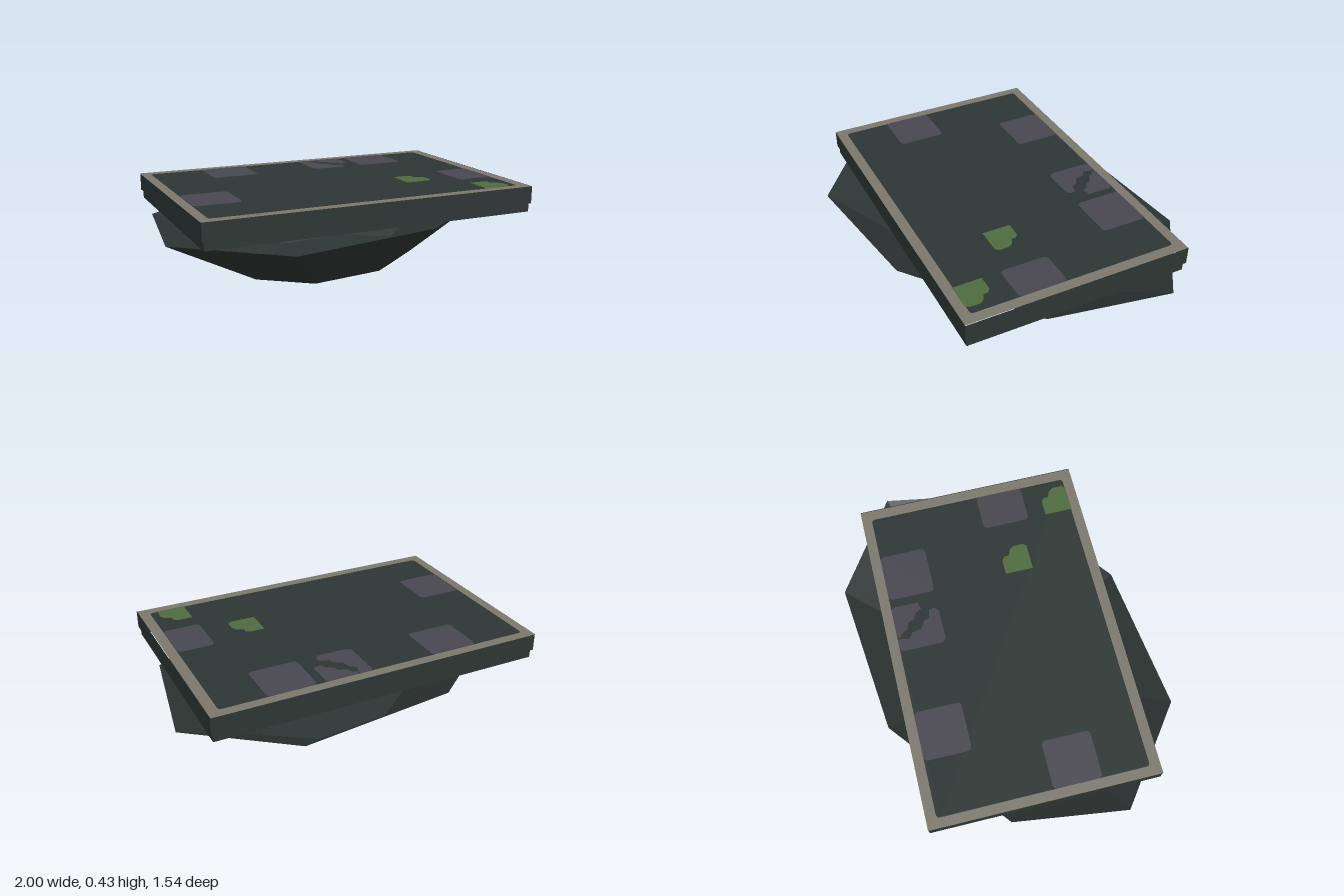
import * as THREE from 'three';

const flat = (name, color, side = THREE.FrontSide) => {
  const m = new THREE.MeshStandardMaterial({ color, side, flatShading: true });
  m.name = name;
  return m;
};

// Rounded rectangle in ground coordinates (shape y = -z)
function roundedRect(x0, x1, z0, z1, r, path = new THREE.Shape()) {
  const y0 = -z1, y1 = -z0;
  path.moveTo(x0 + r, y0);
  path.lineTo(x1 - r, y0);
  path.quadraticCurveTo(x1, y0, x1, y0 + r);
  path.lineTo(x1, y1 - r);
  path.quadraticCurveTo(x1, y1, x1 - r, y1);
  path.lineTo(x0 + r, y1);
  path.quadraticCurveTo(x0, y1, x0, y1 - r);
  path.lineTo(x0, y0 + r);
  path.quadraticCurveTo(x0, y0, x0 + r, y0);
  return path;
}

const outline = (pts) => new THREE.Shape(pts.map(([x, z]) => new THREE.Vector2(x, -z)));

// Open-ended band of quads joining two rings of [x, y, z] points
function band(lower, upper) {
  const pos = [], n = lower.length;
  for (let i = 0; i < n; i++) {
    const j = (i + 1) % n;
    pos.push(...lower[i], ...lower[j], ...upper[j], ...lower[i], ...upper[j], ...upper[i]);
  }
  const g = new THREE.BufferGeometry();
  g.setAttribute('position', new THREE.Float32BufferAttribute(pos, 3));
  g.computeVertexNormals();
  return g;
}

export function createModel() {
  const group = new THREE.Group();
  const stone = flat('dark stone', 0x2d3634, THREE.DoubleSide);
  const trim = flat('taupe trim', 0x7c786d);
  const slate = flat('purple slate', 0x48464f);
  const moss = flat('moss green', 0x4f6b3f);
  const add = (name, geometry, material, y = 0) => {
    const mesh = new THREE.Mesh(geometry, material);
    mesh.name = name;
    mesh.position.y = y;
    group.add(mesh);
  };

  // Faceted rock bowl, open on top, its base half the size of its rim
  const rim = [
    [0.51, 0.28, -0.775], [0.3 - 0.6, 0.29, -0.69], [-0.92, 0.295, -0.19], [-1, 0.287, 0.4],
    [-0.51, 0.28, 0.77], [0.26, 0.295, 0.665], [0.89, 0.303, 0.18], [1, 0.3, -0.44],
  ];
  const base = rim.map(([x, , z]) => [x / 2, 0, z / 2]);
  add('rockSides', band(base, rim), stone);
  add('rockBase', new THREE.ShapeGeometry(outline(base.map(([x, , z]) => [x, z]))).rotateX(-Math.PI / 2), stone);

  // Slab walls: a tall upper band over a slightly inset lower one
  const ring = (x, z0, z1, y) => [[-x, y, z1], [x, y, z1], [x, y, z0], [-x, y, z0]];
  add('upperWall', band(ring(0.883, -0.593, 0.583, 0.34), ring(0.883, -0.593, 0.583, 0.43)), stone);
  add('lowerWall', band(ring(0.873, -0.583, 0.575, 0.295), ring(0.873, -0.583, 0.575, 0.342)), stone);

  // Floor panel and the border around it
  const inner = [-0.835, 0.825, -0.543, 0.53, 0.02];
  add('floorPanel', new THREE.ShapeGeometry(roundedRect(...inner)).rotateX(-Math.PI / 2), stone, 0.43);
  const border = roundedRect(-0.885, 0.88, -0.595, 0.583, 0.001);
  border.holes.push(roundedRect(...inner, new THREE.Path()));
  add('border', new THREE.ShapeGeometry(border).rotateX(-Math.PI / 2), trim, 0.43);

  // Inlaid patches, showing on both sides of the panel
  const inlay = (name, shape, material) => add(name,
    new THREE.ExtrudeGeometry(shape, { depth: 0.004, bevelEnabled: false, curveSegments: 4 }).rotateX(-Math.PI / 2),
    material, 0.428);
  for (const [x0, x1, z0, z1] of [
    [-0.55, -0.295, -0.543, -0.3], [0.335, 0.59, -0.543, -0.3],
    [-0.835, -0.59, 0.04, 0.29], [0.63, 0.825, 0.04, 0.29],
  ]) inlay('slateTile', roundedRect(x0, x1, z0, z1, 0.025), slate);

  // Cracked tile in two pieces
  inlay('crackedTileLeft', outline([
    [0.04, -0.53], [0.055, -0.543], [0.11, -0.543], [0.1, -0.48], [0.13, -0.46], [0.14, -0.41], [0.18, -0.39],
    [0.19, -0.36], [0.235, -0.35], [0.24, -0.32], [0.22, -0.3], [0.06, -0.3], [0.04, -0.32],
  ].reverse()), slate);
  inlay('crackedTileRight', outline([
    [0.13, -0.543], [0.27, -0.543], [0.29, -0.53], [0.29, -0.4], [0.25, -0.39], [0.235, -0.42],
    [0.2, -0.44], [0.19, -0.47], [0.15, -0.485], [0.14, -0.51], [0.11, -0.53],
  ].reverse()), slate);

  // Moss patches with a stepped corner
  for (const [x, z] of [[0.34, 0.09], [0.635, 0.385]]) {
    inlay('mossPatch', outline([
      [0, 0], [0.08, 0], [0.1, 0.015], [0.1, 0.04], [0.135, 0.055], [0.15, 0.08],
      [0.15, 0.13], [0.135, 0.148], [0, 0.148],
    ].map(([a, b]) => [x + a, z + b]).reverse()), moss);
  }
  return group;
}
